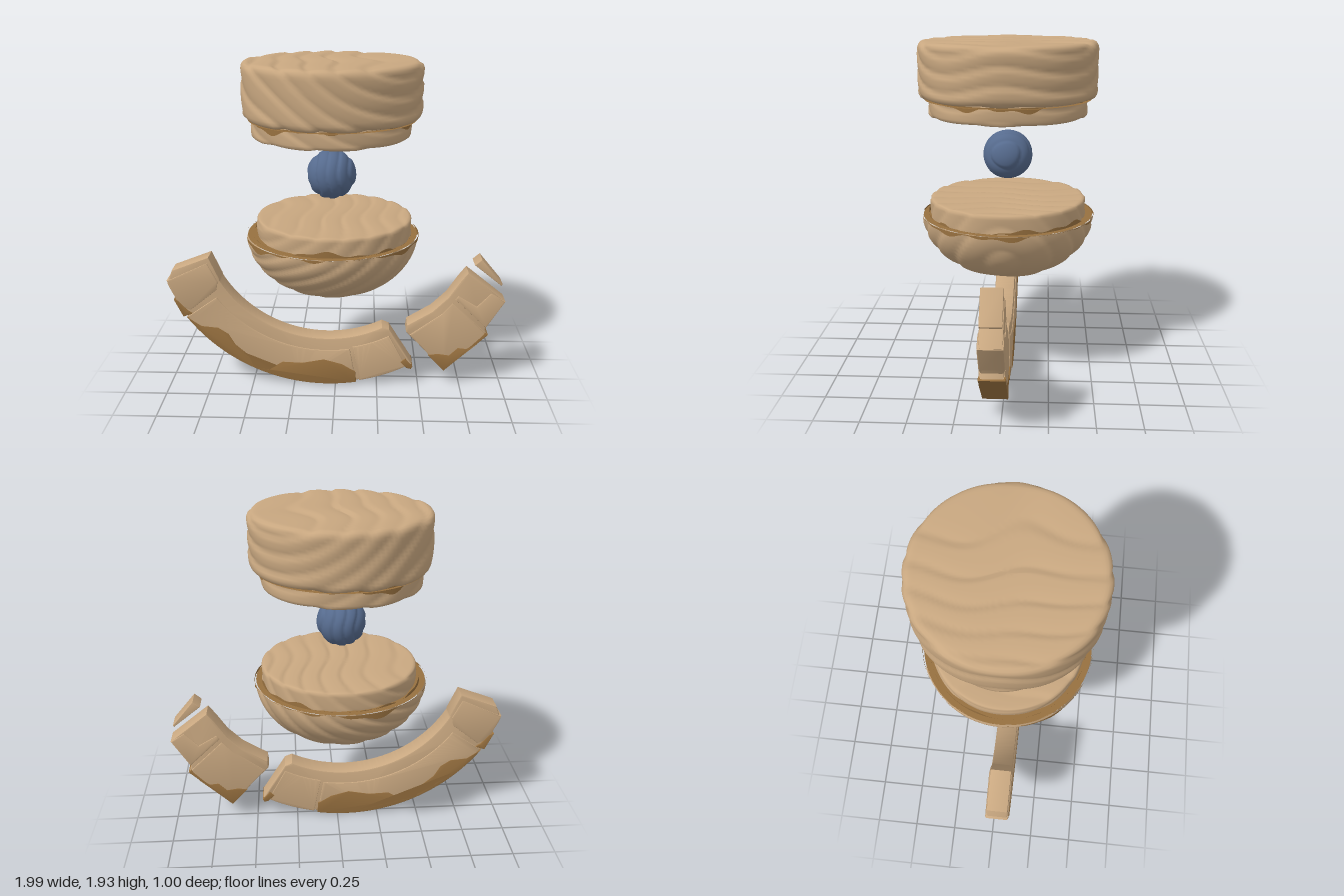
import * as THREE from 'three';
import { mergeVertices, toCreasedNormals } from 'three/addons/utils/BufferGeometryUtils.js';

const material = (name, color, side = THREE.FrontSide) => {
  const m = new THREE.MeshStandardMaterial({ color, side });
  m.name = name;
  return m;
};

export function createModel() {
  const model = new THREE.Group();
  const wood = material('light wood', 0xc8a780);
  const worn = material('worn brown wood', 0x97703f, THREE.DoubleSide);
  const blue = material('slate blue', 0x566b8e);
  const AXIS = -0.02;

  const add = (name, geometry, mat, x = 0, y = 0, z = 0) => {
    const mesh = new THREE.Mesh(geometry, mat);
    mesh.name = name;
    mesh.position.set(x, y, z);
    model.add(mesh);
  };

  // Carve stepped grain lines into a closed smooth surface along a 3D field.
  const carve = (source, field, spacing, depth) => {
    source.deleteAttribute('uv');
    source.deleteAttribute('normal');
    const g = mergeVertices(source, 1e-5);
    g.computeVertexNormals();
    const p = g.attributes.position, n = g.attributes.normal;
    for (let i = 0; i < p.count; i++) {
      const x = p.getX(i), y = p.getY(i), z = p.getZ(i);
      const t = field(x, y, z) / spacing;
      const f = t - Math.floor(t);
      const d = -depth * (f < 0.8 ? Math.pow(f / 0.8, 3) : (1 - f) / 0.2);
      p.setXYZ(i, x + n.getX(i) * d, y + n.getY(i) * d, z + n.getZ(i) * d);
    }
    g.computeVertexNormals();
    return g;
  };

  // Solid disc profile with rounded rims.
  const discGeometry = (r, y0, y1, c) => {
    const s = new THREE.Path();
    s.moveTo(0, y0);
    s.lineTo(r - c, y0);
    s.quadraticCurveTo(r, y0, r, y0 + c);
    s.lineTo(r, y1 - c);
    s.quadraticCurveTo(r, y1, r - c, y1);
    s.lineTo(0, y1);
    return new THREE.LatheGeometry(s.getSpacedPoints(76), 132);
  };

  // Growth rings run along z around an off-centre core.
  const rings = (cx, cy) => (x, y, z) =>
    Math.hypot(x - cx, (y - cy) * 1.2) + 0.025 * Math.sin(6 * z + 4 * x) + 0.012 * Math.sin(13 * z + 1);
  const upperGrain = rings(0.4, 2.25), lowerGrain = rings(-0.5, 1.35);

  // Upper cap with its stepped neck
  add('upperCap', carve(discGeometry(0.502, 1.615, 1.93, 0.045), upperGrain, 0.115, 0.012), wood, AXIS);
  add('upperCapNeck', carve(discGeometry(0.448, 1.515, 1.64, 0.02), upperGrain, 0.115, 0.008), wood, AXIS - 0.005);

  // Lower bowl with its stepped neck
  add('lowerNeck', carve(discGeometry(0.448, 0.92, 1.05, 0.02), lowerGrain, 0.1, 0.008), wood, AXIS + 0.01);
  const bowl = [];
  for (let i = 0; i <= 50; i++) {
    const a = (i / 50) * Math.PI / 2;
    bowl.push(new THREE.Vector2(0.497 * Math.sin(a), 0.945 - 0.365 * Math.cos(a)));
  }
  add('bowl', carve(new THREE.LatheGeometry(bowl, 132), lowerGrain, 0.1, 0.012), wood, AXIS);

  // Worn ledges around the necks
  const ledge = (name, y, up) => {
    const g = new THREE.RingGeometry(0.43, up ? 0.49 : 0.47, 96);
    g.rotateX(up ? -Math.PI / 2 : Math.PI / 2);
    add(name, g, worn, AXIS, y);
  };
  ledge('bowlLedge', 0.944, true);
  ledge('capLedge', 1.612, false);

  // Ragged worn bands: a thin ring whose free edge wanders
  const band = (name, r, y, dir, reach, phase) => {
    const g = new THREE.CylinderGeometry(r, r, 1, 180, 1, true);
    const p = g.attributes.position;
    for (let i = 0; i < p.count; i++) {
      const a = Math.atan2(p.getZ(i), p.getX(i)) + phase;
      const w = 0.45 * Math.sin(3 * a) + 0.35 * Math.sin(7 * a + 1) + 0.2 * Math.sin(17 * a);
      const h = reach * Math.max(0.02, w + 0.15);
      const free = (p.getY(i) > 0) === (dir > 0);
      p.setY(i, free ? dir * h : 0);
    }
    g.computeVertexNormals();
    add(name, g, worn, AXIS, y);
  };
  band('capNeckWear', 0.453, 1.618, -1, 0.04, 0.4);
  band('bowlNeckWear', 0.457, 0.944, 1, 0.035, 1.1);
  band('bowlRimWear', 0.499, 0.944, -1, 0.035, 0.2);

  // Floating carved ball
  add('ball', carve(new THREE.SphereGeometry(0.141, 90, 64),
    (x, y, z) => x + 0.3 * y * y + 0.35 * y * z + 0.012 * Math.sin(25 * y + 8 * z), 0.062, 0.008),
  blue, AXIS - 0.005, 1.287);

  // Curved cradle: bevelled slabs centred on one depth
  const CX = -0.05, CY = 1.02, DEPTH_MID = 0.035;
  const slab = (name, shape, depth, mat = wood, bevel = 0.01) => {
    const g = new THREE.ExtrudeGeometry(shape, {
      depth: depth - 2 * bevel, curveSegments: 48,
      bevelThickness: bevel, bevelSize: bevel, bevelOffset: -bevel, bevelSegments: 2,
    });
    g.translate(0, 0, bevel - depth / 2);
    add(name, toCreasedNormals(g, 0.6), mat, 0, 0, DEPTH_MID);
  };
  const poly = (pts) => new THREE.Shape(pts.map(([x, y]) => new THREE.Vector2(x, y)));
  const sector = (r0, r1, a0, a1) => {
    const s = new THREE.Shape();
    s.absarc(CX, CY, r1, a0, a1, false);
    s.absarc(CX, CY, r0, a1, a0, true);
    s.closePath();
    return s;
  };

  const arc = new THREE.Shape();
  arc.absarc(CX, CY, 1.018, 3.53, 5.22, false);
  arc.lineTo(0.46, 0.13);
  arc.lineTo(0.32, 0.355);
  arc.absarc(CX, CY, 0.725, 5.18, 3.66, true);
  arc.lineTo(-0.68, 0.67);
  arc.lineTo(-0.74, 0.805);
  arc.lineTo(-0.96, 0.72);
  arc.closePath();
  slab('cradleArc', arc, 0.122);
  slab('cradlePanel', sector(0.8, 1.02, 3.76, 4.885), 0.136);
  slab('cradleEndPanel', sector(0.79, 1.02, 4.905, 5.2), 0.136);
  slab('cradleTipPanel', poly([[-0.995, 0.655], [-0.93, 0.5], [-0.86, 0.47], [-0.7, 0.6], [-0.69, 0.655], [-0.75, 0.77]]), 0.134);

  // Broken right chunk with a raised lower block
  const chunk = poly([[0.42, 0.345], [0.65, 0.105], [0.9, 0.335], [0.885, 0.37], [0.99, 0.555],
    [0.77, 0.73], [0.725, 0.67], [0.66, 0.57], [0.57, 0.48], [0.425, 0.39]]);
  slab('brokenChunk', chunk, 0.122);
  slab('chunkPanel', poly([[0.44, 0.33], [0.65, 0.1], [0.9, 0.34], [0.69, 0.54], [0.63, 0.47]]), 0.136);
  slab('chunkTipPanel', poly([[0.89, 0.38], [0.995, 0.55], [0.91, 0.605], [0.83, 0.52], [0.72, 0.585], [0.7, 0.56]]), 0.134);

  // Loose splinter beyond the chunk
  slab('splinter', poly([[0.845, 0.81], [0.805, 0.775], [0.965, 0.648], [0.972, 0.658]]), 0.115, wood, 0.004);

  // Worn patches wrapping the outer edge
  const wear = new THREE.Shape();
  wear.absarc(CX, CY, 1.024, 3.76, 4.885, false);
  [[0.12, 0.08], [0.04, 0.13], [-0.07, 0.16], [-0.2, 0.135], [-0.32, 0.14], [-0.4, 0.09], [-0.49, 0.1],
    [-0.52, 0.18], [-0.6, 0.25], [-0.64, 0.32], [-0.7, 0.36], [-0.8, 0.37]].forEach(([x, y]) => wear.lineTo(x, y));
  wear.closePath();
  slab('cradleWear', wear, 0.14, worn, 0.003);
  slab('cradleTipWear', poly([[-0.957, 0.54], [-0.93, 0.53], [-0.88, 0.47], [-0.85, 0.45], [-0.905, 0.43]]), 0.14, worn, 0.002);
  slab('cradleEndWear', poly([[0.39, 0.15], [0.42, 0.17], [0.464, 0.12], [0.455, 0.105], [0.43, 0.11]]), 0.14, worn, 0.002);
  slab('chunkWear', poly([[0.555, 0.2], [0.652, 0.097], [0.904, 0.338], [0.885, 0.352], [0.84, 0.28], [0.78, 0.245],
    [0.73, 0.25], [0.68, 0.2], [0.61, 0.21]]), 0.14, worn, 0.003);

  return model;
}
